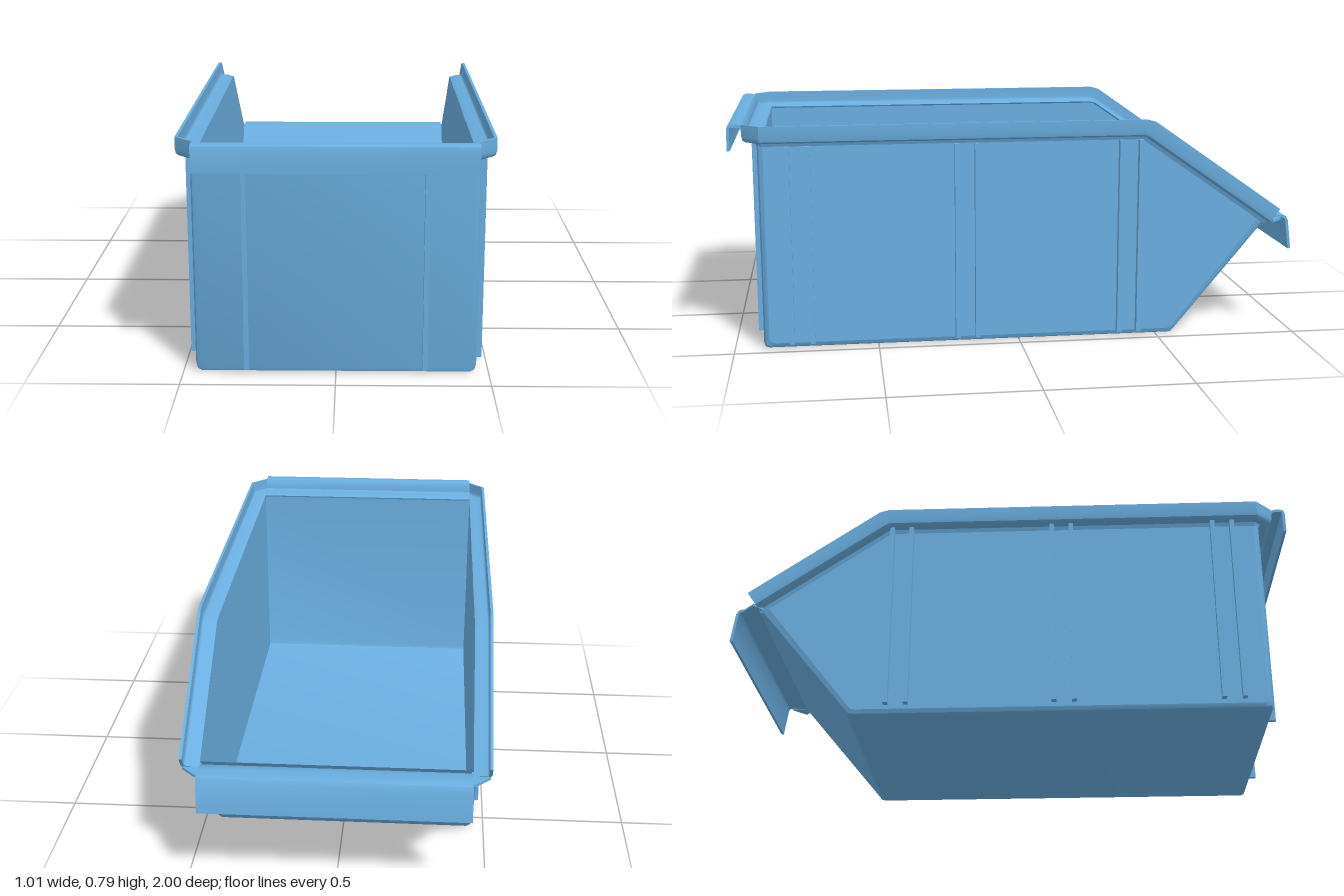
import * as THREE from 'three';
import { toCreasedNormals } from 'three/addons/utils/BufferGeometryUtils.js';

const material = new THREE.MeshStandardMaterial({ color: 0x6aaee0, side: THREE.DoubleSide });

// Surface through rows of [x, y, z] points
function grid(rows) {
  const n = rows[0].length, index = [];
  for (let i = 0; i < rows.length - 1; i++) {
    for (let j = 0; j < n - 1; j++) {
      const a = i * n + j, b = a + n;
      index.push(a, b, a + 1, b, b + 1, a + 1);
    }
  }
  const geo = new THREE.BufferGeometry();
  geo.setAttribute('position', new THREE.Float32BufferAttribute(rows.flat(2), 3));
  geo.setIndex(index);
  return toCreasedNormals(geo, 0.7);
}

// Polyline of [z, y] given a thickness on one side and extruded across x
function ribbon(pts, t, side, halfWidth) {
  const inner = pts.map((p, i) => {
    const a = pts[Math.max(i - 1, 0)], b = pts[Math.min(i + 1, pts.length - 1)];
    const dz = b[0] - a[0], dy = b[1] - a[1], l = Math.hypot(dz, dy);
    return [p[0] + (side * t * dy) / l, p[1] - (side * t * dz) / l];
  });
  const outline = [...pts, ...inner.reverse()].map(p => new THREE.Vector2(...p));
  const geo = new THREE.ExtrudeGeometry(new THREE.Shape(outline), { depth: 2 * halfWidth, bevelEnabled: false });
  geo.translate(0, 0, -halfWidth).rotateY(-Math.PI / 2);
  return toCreasedNormals(geo, 0.7);
}

// Front wall, floor and sloped wall as one [z, y] line, moved inward by d
function profile(d) {
  const f = 0.9 - d, b = -0.56 + 0.47 * d;
  return [
    [f, 0.73], [f, d + 0.018], [f - 0.005, d + 0.005], [f - 0.018, d],
    [b + 0.012, d], [b - 0.002, d + 0.003], [b - 0.012, d + 0.0145],
    [-0.9 + 1.3 * d, 0.41 + 0.9 * d],
  ];
}

export function createModel() {
  const group = new THREE.Group();
  const add = (name, geo, parent = group) => {
    const mesh = new THREE.Mesh(geo, material);
    mesh.name = name;
    parent.add(mesh);
    return mesh;
  };

  // Floor and end walls: outer skin with rounded side edges, and inner skin
  const skin = rings => grid(rings.map(([x, d]) => profile(d).map(([z, y]) => [x, y, z])));
  add('outerShell', skin([[-0.46, 0.02], [-0.454, 0.006], [-0.44, 0], [0.44, 0], [0.454, 0.006], [0.46, 0.02]]));
  add('innerShell', skin([[-0.445, 0.015], [0.445, 0.015]]));

  // Rim section: outer and inner lines as [fraction outward, height]
  const rimOuter = [[0, -0.015], [0.12, -0.002], [0.75, 0], [0.93, 0.006], [1, 0.02], [1, 0.06]];
  const rimInner = [[-0.33, 0.005], [0.12, 0.011], [0.65, 0.012], [0.75, 0.016], [0.78, 0.024], [0.78, 0.06]];

  // Rim stations: base point, outward vector, up vector
  const stations = [
    [[0.445, 0.73, 0.9], [0, 0, 0.05], [0, 1, 0]],
    [[0.46, 0.73, 0.885], [0.045, 0, 0.005], [0, 1, 0]],
    [[0.46, 0.73, -0.43], [0.045, 0, 0], [0, 1, -0.18]],
    [[0.46, 0.724, -0.45], [0.045, 0, 0], [0, 0.96, -0.4]],
    [[0.46, 0.41, -0.9], [0.045, 0, 0], [0, 0.82, -0.57]],
  ];

  for (const s of [1, -1]) {
    const side = new THREE.Group();
    side.name = s > 0 ? 'leftSide' : 'rightSide';
    group.add(side);

    // Side wall, outer and inner faces
    for (const [x, d] of [[0.46, 0.02], [0.445, 0.015]]) {
      const outline = [...profile(d), [-0.44, 0.73]].map(p => new THREE.Vector2(...p));
      add('sideWall', new THREE.ShapeGeometry(new THREE.Shape(outline)).rotateY(-Math.PI / 2), side).position.x = s * x;
    }

    // Channel-shaped side rim
    const place = ([p, out, up], [u, v]) => [0, 1, 2].map(k => (k ? 1 : s) * (p[k] + u * out[k] + v * up[k]));
    const loop = [...rimOuter, ...[...rimInner].reverse(), rimOuter[0]];
    add('sideRim', grid(stations.map(st => loop.map(q => place(st, q)))), side);
    for (const st of [stations[0], stations[4]]) {
      add('rimEnd', grid([rimOuter, rimInner].map(line => line.map(q => place(st, q)))), side);
    }

    // Flat corner between side rim and rear lip
    const corner = new THREE.Shape([[0.44, 0.88], [0.44, 0.96], [0.455, 0.955], [0.5, 0.91], [0.46, 0.88]]
      .map(([x, z]) => new THREE.Vector2(s * x, z)));
    const gusset = new THREE.ExtrudeGeometry(corner, { depth: 0.009, bevelEnabled: false });
    add('lipCorner', gusset.rotateX(-Math.PI / 2).translate(0, 0.409, 0), side);

    // Paired upright ribs on the side, single rib on the front wall
    const ribBase = s > 0 ? 0.02 : 0.035;
    for (const z of [0.8, 0.73, 0.22, 0.15, -0.36, -0.43]) {
      add('sideRib', new THREE.BoxGeometry(0.03, 0.695, 0.016), side)
        .position.set(s * 0.469, ribBase + 0.3475, z);
    }
    add('frontRib', new THREE.BoxGeometry(0.016, 0.7, 0.03), side).position.set(s * 0.29, 0.37, 0.91);
  }

  // Hooked lip over the tall front wall
  add('frontLip', ribbon([
    [0.885, 0.735], [0.9, 0.742], [0.93, 0.742], [0.939, 0.75], [0.942, 0.775], [0.951, 0.787],
    [0.965, 0.79], [0.985, 0.79], [0.996, 0.785], [1, 0.772], [1, 0.7],
  ], 0.01, 1, 0.445));

  // Drooping lip at the low rear opening
  add('rearLip', ribbon([
    [-0.875, 0.405], [-0.89, 0.418], [-0.92, 0.42], [-0.96, 0.425], [-0.977, 0.42], [-0.986, 0.405], [-1, 0.3],
  ], 0.01, -1, 0.445));

  return group;
}
